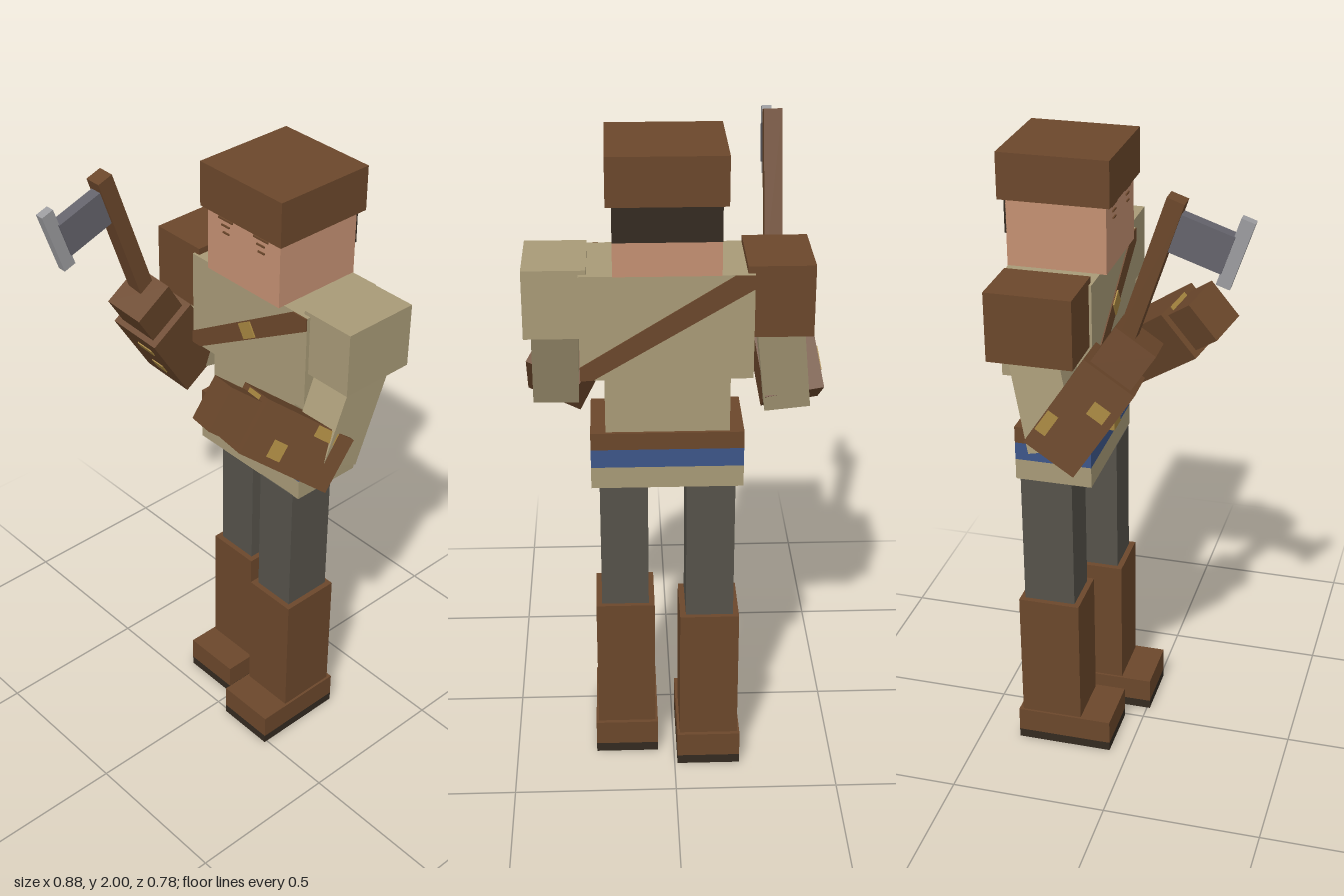
import * as THREE from 'three';

const mat = (name, color) => {
  const m = new THREE.MeshStandardMaterial({ color });
  m.name = name;
  return m;
};

export function createModel() {
  const leather = mat('brown leather', 0x6b472b);
  const cloth = mat('tan cloth', 0xa89a77);
  const skin = mat('skin', 0xc49072);
  const blue = mat('blue sash', 0x3d5689);
  const trousers = mat('grey trousers', 0x55524a);
  const dark = mat('dark brown', 0x332a20);
  const gold = mat('gold', 0xa5853f);
  const steel = mat('light steel', 0x9c9c9f);
  const iron = mat('dark iron', 0x64636b);

  const model = new THREE.Group();
  model.name = 'axeman';

  // Box given by centre and size
  const box = (parent, name, m, [x, y, z], [w, h, d]) => {
    const mesh = new THREE.Mesh(new THREE.BoxGeometry(w, h, d), m);
    mesh.name = name;
    mesh.position.set(x, y, z);
    parent.add(mesh);
    return mesh;
  };
  // Box given by its x, y and z ranges
  const span = (parent, name, m, x0, x1, y0, y1, z0, z1) =>
    box(parent, name, m, [(x0 + x1) / 2, (y0 + y1) / 2, (z0 + z1) / 2], [x1 - x0, y1 - y0, z1 - z0]);

  // Head, hat, hair and face
  span(model, 'head', skin, -0.13, 0.173, 1.655, 1.86, -0.375, -0.075);
  span(model, 'hat', leather, -0.146, 0.19, 1.86, 2, -0.395, -0.06);
  span(model, 'backHair', dark, -0.13, 0.173, 1.755, 1.86, -0.38, -0.374);
  for (const x of [-0.052, 0.095]) {
    span(model, 'brow', leather, x - 0.03, x + 0.03, 1.842, 1.848, -0.076, -0.071);
    span(model, 'eyelid', leather, x - 0.016, x + 0.016, 1.823, 1.828, -0.076, -0.071);
    span(model, 'eye', leather, x - 0.01, x + 0.016, 1.801, 1.806, -0.076, -0.071);
  }

  // Torso
  span(model, 'chest', cloth, -0.222, 0.268, 1.345, 1.656, -0.373, -0.095);
  span(model, 'abdomen', cloth, -0.16, 0.2, 1.16, 1.35, -0.34, -0.125);

  // Diagonal chest strap, one plate on the front and one on the back
  const strapShape = new THREE.Shape([
    [-0.245, -0.155], [-0.21, -0.155], [0.245, 0.115], [0.245, 0.155], [0.19, 0.155], [-0.245, -0.115],
  ].map(([x, y]) => new THREE.Vector2(x, y)));
  const strapGeo = new THREE.ExtrudeGeometry(strapShape, { depth: 0.005, bevelEnabled: false });
  for (const side of [1, -1]) {
    const strap = new THREE.Mesh(strapGeo, leather);
    strap.name = side > 0 ? 'frontStrap' : 'backStrap';
    strap.position.set(0.023, 1.5, -0.234 + side * 0.138);
    if (side < 0) strap.rotation.y = Math.PI;
    model.add(strap);
  }
  box(model, 'strapBuckle', gold, [0.025, 1.505, -0.091], [0.055, 0.05, 0.009]).rotation.z = 0.54;

  // Banded belt
  span(model, 'beltHem', cloth, -0.202, 0.244, 0.988, 1.055, -0.35, -0.11);
  span(model, 'beltSash', blue, -0.202, 0.244, 1.055, 1.112, -0.35, -0.11);
  span(model, 'beltStrap', leather, -0.202, 0.244, 1.112, 1.165, -0.35, -0.11);
  span(model, 'beltBuckle', gold, -0.016, 0.057, 1.093, 1.147, -0.115, -0.088);

  // Legs, the left one a step ahead
  for (const [name, x, z] of [['leftLeg', 0.149, 0], ['rightLeg', -0.107, -0.072]]) {
    const leg = new THREE.Group();
    leg.name = name;
    leg.position.set(x, 0, z);
    model.add(leg);
    span(leg, 'thigh', trousers, -0.072, 0.072, 0.53, 0.99, -0.272, -0.108);
    span(leg, 'boot', leather, -0.09, 0.09, 0.11, 0.54, -0.287, -0.09);
    span(leg, 'foot', leather, -0.098, 0.098, 0.03, 0.11, -0.3, 0.01);
    span(leg, 'sole', dark, -0.098, 0.098, 0, 0.03, -0.3, 0.01);
  }

  // Shoulders
  span(model, 'leftShoulder', cloth, 0.245, 0.425, 1.465, 1.668, -0.355, -0.107);
  span(model, 'rightShoulder', leather, -0.391, -0.202, 1.465, 1.676, -0.36, -0.103);

  // Upper arms, running from shoulder to elbow
  const upperArm = (name, from, to) => {
    const a = new THREE.Vector3(...from), b = new THREE.Vector3(...to);
    const mid = a.clone().add(b).multiplyScalar(0.5);
    const arm = box(model, name, cloth, mid.toArray(), [0.135, a.distanceTo(b), 0.15]);
    arm.quaternion.setFromUnitVectors(new THREE.Vector3(0, 1, 0), a.sub(b).normalize());
  };
  upperArm('leftUpperArm', [0.337, 1.54, -0.25], [0.345, 1.215, -0.105]);
  upperArm('rightUpperArm', [-0.297, 1.54, -0.24], [-0.335, 1.2, -0.165]);

  // Forearms: local y runs to the hand, local x is the width
  const forearm = (name, centre, across, along, handLength) => {
    const g = new THREE.Group();
    g.name = name;
    const y = new THREE.Vector3(...along).normalize();
    const z = new THREE.Vector3(...across).cross(y).normalize();
    const x = y.clone().cross(z);
    g.quaternion.setFromRotationMatrix(new THREE.Matrix4().makeBasis(x, y, z));
    g.position.set(...centre);
    model.add(g);
    box(g, 'gauntlet', leather, [0, 0, 0], [0.176, 0.31, 0.175]);
    box(g, 'hand', leather, [0, 0.15 + handLength / 2, 0], [0.133, handLength + 0.01, 0.14]);
    return g;
  };
  const left = forearm('leftForearm', [0.287, 1.298, -0.004], [0.9, 0.283, 0.33], [-0.436, 0.567, 0.7], 0.107);
  const right = forearm('rightForearm', [-0.332, 1.319, -0.088], [0.985, -0.13, -0.08], [0.155, 0.83, 0.55], 0.125);

  // Gold patches on the gauntlets
  for (const [arm, side] of [[left, 1], [right, -1]]) {
    box(arm, 'sidePatch', gold, [side * 0.088, 0.052, 0.035], [0.006, 0.045, 0.055]);
    box(arm, 'sidePatch', gold, [side * 0.088, -0.066, -0.066], [0.006, 0.07, 0.036]);
  }
  box(left, 'endPatch', gold, [0, 0.155, -0.076], [0.08, 0.006, 0.016]);
  box(right, 'frontPatch', gold, [0.01, 0.066, 0.088], [0.06, 0.03, 0.006]);
  box(right, 'frontPatch', gold, [0.008, -0.062, 0.088], [0.045, 0.045, 0.006]);

  // Axe held in the right hand
  const axe = new THREE.Group();
  axe.name = 'axe';
  axe.position.set(-0.308, 1.54, 0.03);
  axe.rotation.x = 0.326;
  model.add(axe);
  span(axe, 'axeHandle', leather, -0.027, 0.027, -0.03, 0.453, -0.026, 0.026);
  span(axe, 'axeHead', iron, -0.019, 0.019, 0.305, 0.42, 0.02, 0.182);
  span(axe, 'axeBlade', steel, -0.014, 0.014, 0.27, 0.475, 0.178, 0.219);

  return model;
}
